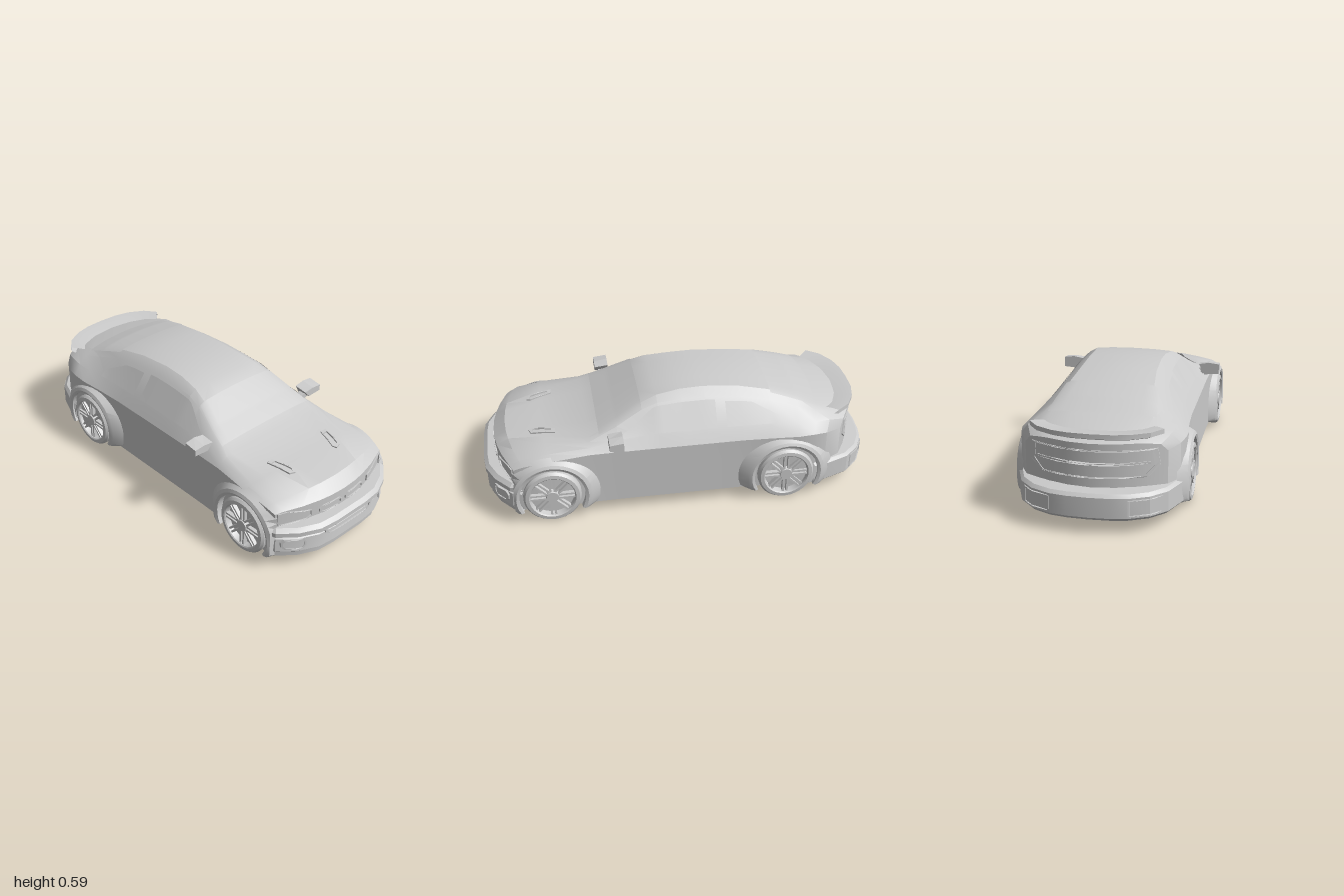
import * as THREE from 'three';
import { toCreasedNormals } from 'three/addons/utils/BufferGeometryUtils.js';

const grey = new THREE.MeshStandardMaterial({ color: 0xcccccc });
const thin = new THREE.MeshStandardMaterial({ color: 0xcccccc, side: THREE.DoubleSide });
const FLOOR = 0.065;

// body stations: z, width, belt y, shoulder x y, rail x y, roof edge x y, top y
const STATIONS = [
  [-0.93, 0.33, 0.35, 0.30, 0.385, 0.25, 0.395, 0.20, 0.40, 0.40],
  [-0.83, 0.375, 0.36, 0.335, 0.41, 0.28, 0.425, 0.23, 0.435, 0.442],
  [-0.72, 0.39, 0.365, 0.345, 0.41, 0.29, 0.44, 0.24, 0.457, 0.467],
  [-0.60, 0.39, 0.36, 0.345, 0.41, 0.27, 0.465, 0.23, 0.497, 0.513],
  [-0.45, 0.375, 0.355, 0.335, 0.41, 0.25, 0.51, 0.205, 0.542, 0.555],
  [-0.30, 0.368, 0.355, 0.333, 0.41, 0.24, 0.535, 0.19, 0.568, 0.58],
  [-0.12, 0.368, 0.355, 0.333, 0.41, 0.235, 0.55, 0.185, 0.582, 0.59],
  [0.00, 0.368, 0.355, 0.333, 0.41, 0.235, 0.548, 0.187, 0.578, 0.586],
  [0.12, 0.368, 0.355, 0.333, 0.41, 0.24, 0.54, 0.20, 0.563, 0.571],
  [0.20, 0.368, 0.355, 0.333, 0.405, 0.25, 0.515, 0.215, 0.535, 0.545],
  [0.33, 0.368, 0.355, 0.335, 0.40, 0.285, 0.452, 0.255, 0.467, 0.475],
  [0.47, 0.37, 0.355, 0.345, 0.38, 0.315, 0.395, 0.28, 0.40, 0.405],
  [0.70, 0.385, 0.345, 0.345, 0.365, 0.27, 0.378, 0.215, 0.387, 0.39],
  [0.88, 0.38, 0.325, 0.34, 0.34, 0.25, 0.35, 0.165, 0.358, 0.36],
  [0.94, 0.37, 0.305, 0.33, 0.313, 0.24, 0.315, 0.15, 0.316, 0.316],
];
const FRONT_PLAN = [[0, 1], [0.1, 1], [0.2, 0.99], [0.3, 0.945], [0.385, 0.875], [0.4, 0.83]];
const REAR_PLAN = [[0, -1], [0.1, -0.995], [0.18, -0.98], [0.27, -0.935], [0.34, -0.86], [0.39, -0.73], [0.4, -0.67]];

// row of a table at key t, interpolated
function lookUp(table, t) {
  let i = 0;
  while (i < table.length - 2 && t > table[i + 1][0]) i++;
  const [a, b] = [table[i], table[i + 1]];
  const f = THREE.MathUtils.clamp((t - a[0]) / (b[0] - a[0]), 0, 1);
  return a.map((v, k) => v + (b[k] - v) * f);
}

// rounds the nose and tail in plan
function bend(x, z) {
  if (z > 0.5) return z - 0.09 * (x / 0.37) ** 2 * ((z - 0.5) / 0.44) ** 1.5;
  if (z < -0.5) return z + 0.12 * (x / 0.33) ** 2 * ((-0.5 - z) / 0.43) ** 1.5;
  return z;
}

// upper half section from the centre line out to the belt
function halfSection(z) {
  const [, w, belt, sx, sy, gx, gy, rx, ry, top] = lookUp(STATIONS, z);
  return [[0, top], [rx * 0.55, top - (top - ry) * 0.25], [rx, ry], [gx, gy], [sx, sy], [w, belt]];
}

// surface through rows of points
function skin(rows, crease = 0.45) {
  const p = [];
  for (let i = 0; i < rows.length - 1; i++) {
    for (let j = 0; j < rows[i].length - 1; j++) {
      const [a, b, c, d] = [rows[i][j], rows[i][j + 1], rows[i + 1][j], rows[i + 1][j + 1]];
      p.push(...a, ...c, ...b, ...b, ...c, ...d);
    }
  }
  const g = new THREE.BufferGeometry();
  g.setAttribute('position', new THREE.Float32BufferAttribute(p, 3));
  return toCreasedNormals(g, crease);
}

function add(parent, name, geometry, material = grey) {
  const mesh = new THREE.Mesh(geometry, material);
  mesh.name = name;
  parent.add(mesh);
  return mesh;
}

// point on the body skin, lifted slightly; u runs from roof centre 0 to belt 5
function onBody(z, u, lift = 0.003) {
  const s = halfSection(z), a = Math.abs(u), i = Math.min(4, Math.floor(a)), f = a - i;
  const x = s[i][0] + (s[i + 1][0] - s[i][0]) * f;
  const y = s[i][1] + (s[i + 1][1] - s[i][1]) * f;
  return [Math.sign(u) * (x + (a > 2 ? lift : 0)), y + lift, bend(x, z)];
}

// pane between two limits of u, following the body
function pane(z0, z1, limits, n = 24) {
  const rows = [];
  for (let i = 0; i <= n; i++) {
    const z = z0 + (z1 - z0) * i / n, [ua, ub] = limits(z), row = [];
    for (let j = 0; j <= 12; j++) row.push(onBody(z, ua + (ub - ua) * j / 12));
    rows.push(row);
  }
  return skin(rows);
}

// band with a profile of [outward, y] swept round a plan curve
function band(plan, profile, centreZ) {
  const full = [...plan.slice(1).reverse(), ...plan.map(([x, z]) => [-x, z])];
  return skin(profile.map(([o, y]) => full.map(([x, z]) => {
    const d = Math.hypot(x, z - centreZ);
    return [x + o * x / d, y, z + o * (z - centreZ) / d];
  })), 0.35);
}

// raised frame wrapped on a curved face; depthAt gives z for each x
function frame(pts, depthAt, inner = 0.84) {
  const fine = [];
  pts.forEach(([x, y], i) => {
    const [nx, ny] = pts[(i + 1) % pts.length];
    for (let k = 0; k < 5; k++) fine.push(new THREE.Vector2(x + (nx - x) * k / 5, y + (ny - y) * k / 5));
  });
  const c = fine.reduce((s, v) => s.add(v), new THREE.Vector2()).divideScalar(fine.length);
  const shape = new THREE.Shape(fine);
  shape.holes.push(new THREE.Path(fine.map((v) => v.clone().sub(c).multiplyScalar(inner).add(c))));
  const g = new THREE.ExtrudeGeometry(shape, { depth: 0.012, bevelEnabled: false });
  const p = g.attributes.position;
  for (let i = 0; i < p.count; i++) p.setZ(i, p.getZ(i) - 0.006 + depthAt(Math.abs(p.getX(i))));
  g.computeVertexNormals();
  return g;
}
const flip = (pts) => pts.map(([x, y]) => [-x, y]).reverse();
const hexagon = (cx, cy, w, h) => [[cx - w, cy - h * 0.4], [cx - w * 0.75, cy - h], [cx + w * 0.75, cy - h],
  [cx + w, cy - h * 0.4], [cx + w, cy + h * 0.4], [cx + w * 0.75, cy + h], [cx - w * 0.75, cy + h], [cx - w, cy + h * 0.4]];

// wheel along +x, outer face at x = 0.41
function makeWheel() {
  const wheel = new THREE.Group();
  const profile = [[0, 0.285], [0.13, 0.285], [0.145, 0.295], [0.145, 0.395], [0.135, 0.408], [0.117, 0.41],
    [0.112, 0.405], [0.108, 0.375], [0, 0.375]].map(([r, x]) => new THREE.Vector2(r, x));
  const tyre = toCreasedNormals(new THREE.LatheGeometry(profile, 32), 0.5).rotateZ(-Math.PI / 2);
  add(wheel, 'tyre', tyre, thin);
  const hub = new THREE.CylinderGeometry(0.03, 0.042, 0.032, 20).rotateZ(-Math.PI / 2).translate(0.39, 0, 0);
  add(wheel, 'hub', toCreasedNormals(hub, 0.5));
  for (let i = 0; i < 8; i++) {
    for (const s of [-1, 1]) {
      const spoke = new THREE.BoxGeometry(0.022, 0.085, 0.01).translate(0.39, 0.071, s * 0.01);
      add(wheel, 'spoke', spoke.rotateX(i * Math.PI / 4));
    }
  }
  return wheel;
}

// flared arch round a wheel; profile rows are z radius, y radius, x
function archGeometry(cz) {
  const rows = [[0.165, 0.165, 0.35], [0.165, 0.165, 0.408], [0.18, 0.178, 0.413], [0.2, 0.192, 0.405], [0.25, 0.212, 0.362]]
    .map(([rz, ry, x]) => Array.from({ length: 25 }, (_, i) => {
      const a = -0.5 + (Math.PI + 1) * i / 24;
      return [x, Math.max(FLOOR, 0.145 + ry * Math.sin(a)), Math.min(0.86, cz + rz * Math.cos(a))];
    }));
  return skin(rows, 0.4);
}

export function createModel() {
  const car = new THREE.Group();
  car.name = 'car';

  // main body shell with closed nose and tail
  const tops = [], floors = [];
  for (const [z] of [...STATIONS].reverse()) {
    const half = halfSection(z);
    const full = [...half.slice().reverse(), ...half.slice(1).map(([x, y]) => [-x, y])];
    tops.push(full.map(([x, y]) => [x, y, bend(x, z)]));
    floors.push(full.map(([x]) => [x, FLOOR, bend(x, z)]).reverse());
  }
  const last = tops.length - 1;
  const under = (i) => floors[i].slice().reverse();
  add(car, 'bodyShell', skin(tops.map((t, i) => [...t, ...floors[i], t[0]])));
  add(car, 'nosePanel', skin([under(0), tops[0]]));
  add(car, 'tailPanel', skin([tops[last], under(last)]));

  // glass
  add(car, 'windshield', pane(0.42, 0.2, () => [2.7, -2.7]), thin);
  add(car, 'rearWindow', pane(-0.46, -0.71, (z) => [2.3, -2.3]), thin);
  const rise = (z) => [3.95, z > 0.15 ? 3.1 + 0.8 * (z - 0.15) / 0.22 : 3.1];
  const fall = (z) => [3.95, z < -0.36 ? 3.15 + 0.45 * (-0.36 - z) / 0.13 : 3.15];
  for (const s of [1, -1]) {
    const side = (fn) => (z) => fn(z).map((u) => u * s);
    add(car, 'doorWindow', pane(0.37, -0.17, side(rise)), thin);
    add(car, 'quarterWindow', pane(-0.22, -0.49, side(fall)), thin);
  }

  // bumpers and tail lip
  add(car, 'frontBumper', band(FRONT_PLAN, [[-0.2, 0.065], [-0.02, 0.065], [-0.018, 0.09], [-0.008, 0.1], [-0.015, 0.168],
    [-0.035, 0.18], [-0.03, 0.19], [0, 0.192], [0, 0.215], [-0.02, 0.232], [-0.1, 0.236]], 0.5), thin);
  add(car, 'rearBumper', band(REAR_PLAN, [[-0.2, 0.065], [-0.015, 0.065], [0, 0.08], [0, 0.175], [-0.015, 0.19], [-0.11, 0.2]], -0.5), thin);
  add(car, 'tailLip', band([[0, -0.935], [0.1, -0.93], [0.18, -0.91], [0.26, -0.865], [0.31, -0.8]],
    [[-0.12, 0.43], [-0.04, 0.444], [0, 0.447], [0, 0.425], [-0.03, 0.412], [-0.08, 0.4]], -0.5), thin);

  // nose details
  const noseZ = (x) => 0.94 - 0.09 * (x / 0.37) ** 2;
  const bumperZ = (x) => lookUp(FRONT_PLAN, x)[1] - 0.014;
  const lamp = [[0.19, 0.25], [0.215, 0.237], [0.36, 0.237], [0.36, 0.304], [0.32, 0.308], [0.195, 0.28]];
  const fog = hexagon(0.31, 0.14, 0.05, 0.028);
  for (const m of [(p) => p, flip]) {
    add(car, 'headlight', frame(m(lamp), noseZ, 0.93));
    add(car, 'upperGrille', frame(m(hexagon(0.082, 0.26, 0.07, 0.02)), noseZ, 0.85));
    add(car, 'fogLight', frame(m(fog), bumperZ));
  }
  add(car, 'lowerGrille', frame([[-0.14, 0.15], [0.14, 0.15], [0.16, 0.163], [0.165, 0.182], [-0.165, 0.182], [-0.16, 0.163]], bumperZ, 0.9));

  // tail details, made facing forward and turned round
  const tailZ = (x) => 0.93 - 0.12 * (x / 0.33) ** 2;
  const rearZ = (x) => -lookUp(REAR_PLAN, x)[1];
  const vent = [[0.18, 0.09], [0.32, 0.09], [0.32, 0.165], [0.18, 0.165]];
  const tail = new THREE.Group();
  tail.name = 'tailDetails';
  tail.rotation.y = Math.PI;
  car.add(tail);
  add(tail, 'tailLightPanel', frame([[-0.25, 0.24], [0.25, 0.24], [0.3, 0.29], [0.29, 0.37], [-0.29, 0.37], [-0.3, 0.29]], tailZ, 0.92));
  add(tail, 'tailLightStrip', frame([[-0.26, 0.3], [0.26, 0.3], [0.26, 0.312], [-0.26, 0.312]], tailZ, 0.4));
  for (const m of [(p) => p, flip]) add(tail, 'bumperVent', frame(m(vent), rearZ, 0.92));

  // wheels, arches, mirrors and hood vents on both sides
  for (const s of [1, -1]) {
    for (const cz of [0.67, -0.52]) {
      const wheel = makeWheel();
      wheel.name = cz > 0 ? 'frontWheel' : 'rearWheel';
      wheel.position.set(0, 0.145, cz);
      if (s < 0) wheel.rotation.y = Math.PI;
      car.add(wheel);
      const arch = add(car, cz > 0 ? 'frontArch' : 'rearArch', archGeometry(cz), thin);
      arch.scale.x = s;
    }
    const mirror = new THREE.Group();
    mirror.name = 'mirror';
    mirror.scale.x = s;
    car.add(mirror);
    const outline = [[0.355, 0.39], [0.435, 0.396], [0.435, 0.45], [0.38, 0.457], [0.325, 0.447]];
    const housing = new THREE.ExtrudeGeometry(new THREE.Shape(outline.map((p) => new THREE.Vector2(...p))), { depth: 0.07, bevelEnabled: false });
    const p = housing.attributes.position;
    for (let i = 0; i < p.count; i++) if (p.getZ(i) > 0.03) p.setY(i, 0.405 + (p.getY(i) - 0.39) * 0.6);
    housing.translate(0, 0, 0.31).computeVertexNormals();
    add(mirror, 'mirrorHousing', housing);
    add(mirror, 'mirrorStalk', new THREE.BoxGeometry(0.05, 0.03, 0.035).rotateZ(0.4).translate(0.34, 0.405, 0.345));

    const slot = frame([[0.135, -0.63], [0.17, -0.63], [0.205, -0.74], [0.195, -0.76], [0.165, -0.75]].map(([x, y]) => [0.34 - x, y]).reverse(), () => 0, 0.75);
    const hoodVent = add(car, 'hoodVent', slot.rotateX(-Math.PI / 2), thin);
    const q = slot.attributes.position;
    for (let i = 0; i < q.count; i++) q.setY(i, q.getY(i) + onBody(q.getZ(i), 1.5, 0)[1]);
    slot.computeVertexNormals();
    hoodVent.scale.x = s;
  }
  return car;
}
